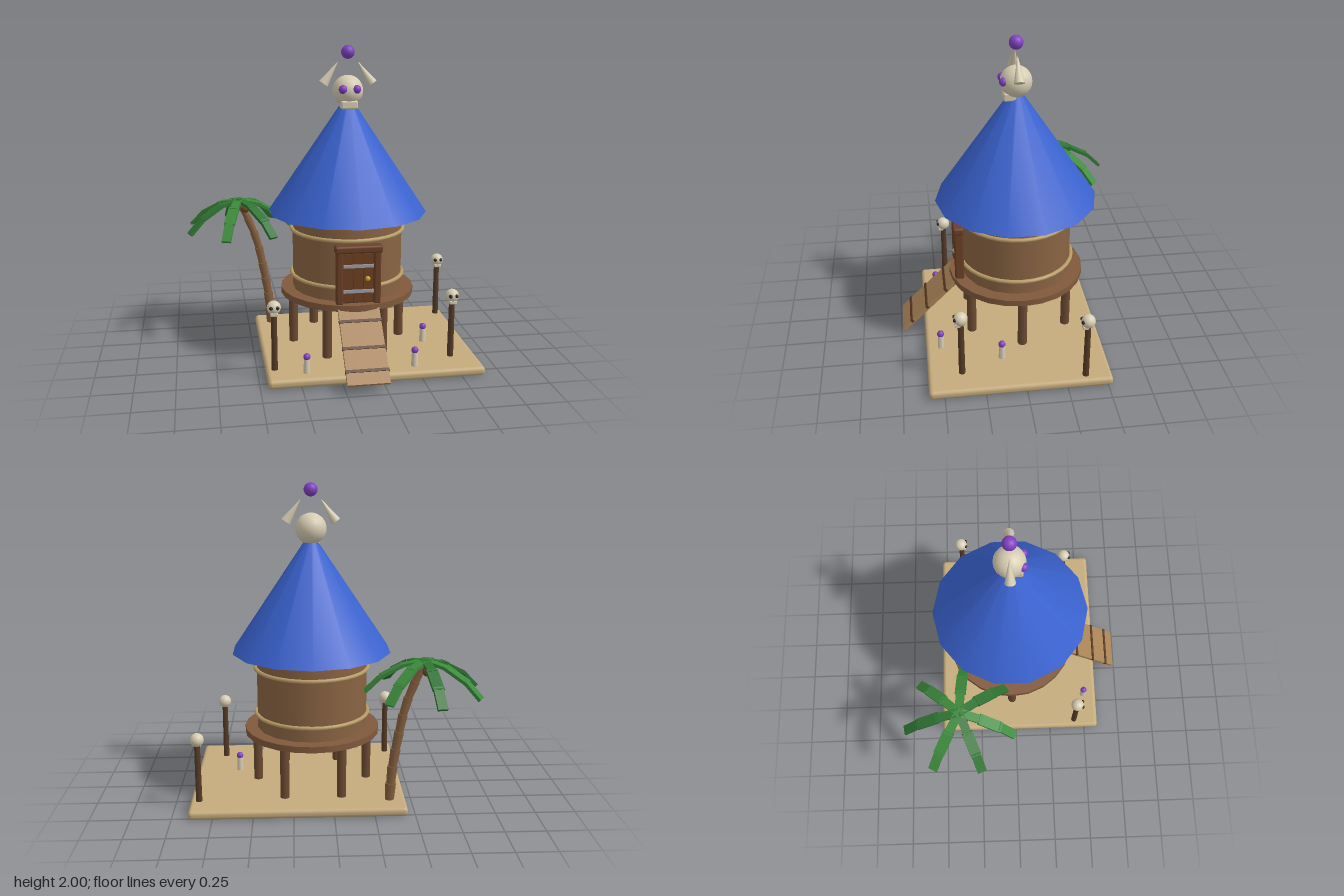
import * as THREE from 'three';
import { RoundedBoxGeometry } from 'three/addons/geometries/RoundedBoxGeometry.js';

const mat = (color) => new THREE.MeshStandardMaterial({ color });
const M = {
  sand: mat(0xc4aa7c), wall: mat(0x8a6443), deck: mat(0x80593c), leg: mat(0x6b4a32),
  plank: mat(0xaa8356), rung: mat(0x5a3c24), rope: mat(0xb89c66), roof: mat(0x3a62cf),
  bone: mat(0xd6ccb2), purple: mat(0x8040c0), dark: mat(0x2a2420), door: mat(0x6b3f22),
  frame: mat(0x6a4026), iron: mat(0x9c9ca4), gold: mat(0xd0a030), post: mat(0x553a26),
  trunk: mat(0x85603f), nut: mat(0x70452a), leaf: mat(0x3c8a3c), leafDark: mat(0x2f7333),
};
const UP = new THREE.Vector3(0, 1, 0);

function add(parent, name, geometry, material, x = 0, y = 0, z = 0) {
  const mesh = new THREE.Mesh(geometry, material);
  mesh.name = name;
  mesh.position.set(x, y, z);
  parent.add(mesh);
  return mesh;
}
function group(parent, name, x = 0, y = 0, z = 0) {
  const g = new THREE.Group();
  g.name = name;
  g.position.set(x, y, z);
  parent.add(g);
  return g;
}
const ball = (r) => new THREE.SphereGeometry(r, 20, 14);
const cyl = (rTop, rBottom, h, n = 14) => new THREE.CylinderGeometry(rTop, rBottom, h, n);
const box = (w, h, d) => new THREE.BoxGeometry(w, h, d);

// Tapered cylinder running from point a to point b
function rod(parent, name, a, b, rA, rB, material, n = 10) {
  const dir = b.clone().sub(a);
  const mesh = add(parent, name, cyl(rB, rA, dir.length(), n), material);
  mesh.position.copy(a).add(b).multiplyScalar(0.5);
  mesh.quaternion.setFromUnitVectors(UP, dir.normalize());
  return mesh;
}

// Skull facing +z with jaw and two eyes
function skull(parent, name, r, eyeMaterial, x, y, z) {
  const g = group(parent, name, x, y, z);
  add(g, 'cranium', ball(r), M.bone);
  add(g, 'jaw', new RoundedBoxGeometry(r * 1.1, r * 0.55, r * 0.8, 2, r * 0.12), M.bone, 0, -r * 0.85, r * 0.42);
  for (const s of [-1, 1]) add(g, 'eye', ball(r * 0.28), eyeMaterial, s * r * 0.44, r * 0.15, r * 0.8);
  return g;
}

function buildHut(parent) {
  const hut = group(parent, 'hut', 0.127, 0, -0.022);
  add(hut, 'deck', cyl(0.435, 0.435, 0.04, 24), M.deck, 0, 0.42);
  for (let i = 0; i < 6; i++) {
    const a = (i * Math.PI) / 3;
    add(hut, 'stilt', cyl(0.03, 0.03, 0.36, 10), M.leg, 0.357 * Math.cos(a), 0.23, 0.357 * Math.sin(a));
  }
  add(hut, 'wall', cyl(0.356, 0.356, 0.52, 18), M.wall, 0, 0.69);
  for (const y of [0.533, 0.833]) {
    add(hut, 'ropeBand', new THREE.TorusGeometry(0.363, 0.013, 8, 32), M.rope, 0, y).rotation.x = Math.PI / 2;
  }
  add(hut, 'roof', cyl(0.04, 0.51, 0.7), M.roof, 0, 1.292);

  // Rooftop skull with horns and a floating orb
  skull(hut, 'roofSkull', 0.098, M.purple, 0, 1.717, 0);
  for (const s of [-1, 1]) {
    rod(hut, 'horn', new THREE.Vector3(s * 0.155, 1.762, 0), new THREE.Vector3(s * 0.066, 1.893, 0), 0.033, 0.002, M.bone, 10);
  }
  add(hut, 'orb', ball(0.043), M.purple, 0, 1.957);

  // Door with frame, planks, iron straps and knob
  const door = group(hut, 'door', 0.005, 0, 0.37);
  for (const s of [-1, 1]) {
    add(door, 'doorPost', new RoundedBoxGeometry(0.044, 0.35, 0.06, 2, 0.012), M.frame, s * 0.118, 0.61, 0.006);
  }
  add(door, 'lintel', new RoundedBoxGeometry(0.3, 0.048, 0.068, 2, 0.014), M.frame, 0, 0.79, 0.008);
  add(door, 'doorBack', box(0.2, 0.33, 0.03), M.post, 0, 0.605, -0.005);
  for (const x of [-0.062, 0, 0.062]) {
    add(door, 'doorPlank', box(0.057, 0.31, 0.02), M.door, x, 0.605, 0.008);
  }
  for (const y of [0.52, 0.682]) add(door, 'ironStrap', box(0.19, 0.02, 0.012), M.iron, 0, y, 0.022);
  add(door, 'knob', ball(0.016), M.gold, 0.056, 0.602, 0.03);
}

function buildRamp(parent) {
  const ramp = group(parent, 'ramp', 0.13, 0.245, 0.545);
  ramp.rotation.x = Math.PI / 4;
  add(ramp, 'rampBoard', box(0.26, 0.024, 0.52), M.plank);
  for (const z of [-0.145, 0.03, 0.175]) add(ramp, 'rung', box(0.268, 0.02, 0.018), M.rung, 0, 0.008, z);
}

function buildPalm(parent) {
  const palm = group(parent, 'palmTree');
  // Curved trunk of stacked, flaring segments
  const curve = new THREE.CatmullRomCurve3([
    [-0.35, 0.055, -0.385], [-0.363, 0.25, -0.383], [-0.4, 0.48, -0.378],
    [-0.447, 0.69, -0.372], [-0.545, 0.93, -0.365],
  ].map((p) => new THREE.Vector3(...p)));
  const count = 8;
  for (let i = 0; i < count; i++) {
    const r = 0.034 - i * 0.001;
    rod(palm, 'trunkSegment', curve.getPointAt(i / count), curve.getPointAt((i + 1) / count), r * 0.85, r, M.trunk, 10);
  }
  const crown = group(palm, 'crown', -0.555, 0, -0.365);
  for (let i = 0; i < 3; i++) {
    const a = (i * Math.PI * 2) / 3 + 0.3;
    add(crown, 'coconut', ball(0.03), M.nut, 0.04 * Math.cos(a), 0.895, 0.04 * Math.sin(a));
  }
  // Drooping fronds made of three flat, overlapping pieces
  const path = [[0, 0.955], [0.14, 0.925], [0.265, 0.855], [0.355, 0.765]];
  const widths = [0.055, 0.07, 0.06];
  for (let i = 0; i < 7; i++) {
    const frond = group(crown, 'frond');
    frond.rotation.y = -((i * Math.PI * 2) / 7 + 0.07);
    widths.forEach((w, k) => {
      const [x0, y0] = path[k], [x1, y1] = path[k + 1];
      const length = Math.hypot(x1 - x0, y1 - y0) + 0.02;
      const leaf = add(frond, 'frondPiece', box(length, 0.02, w), i % 2 ? M.leafDark : M.leaf, (x0 + x1) / 2, (y0 + y1) / 2);
      leaf.rotation.z = Math.atan2(y1 - y0, x1 - x0);
    });
  }
}

export function createModel() {
  const model = new THREE.Group();
  model.name = 'stiltHut';

  add(model, 'ground', new RoundedBoxGeometry(1.35, 0.058, 1.125, 3, 0.025), M.sand, 0.222, 0.031, 0.032);
  buildHut(model);
  buildRamp(model);
  buildPalm(model);

  // Skulls on poles
  for (const [x, z] of [[-0.4, 0.425], [0.728, 0.385], [0.842, -0.365]]) {
    const pole = group(model, 'skullPole', x, 0, z);
    add(pole, 'pole', cyl(0.018, 0.02, 0.38, 10), M.post, 0, 0.24);
    skull(pole, 'poleSkull', 0.043, M.dark, 0, 0.464, 0);
  }
  // Candles with glowing tips
  for (const [x, z] of [[-0.21, 0.5], [0.465, 0.5], [0.615, 0.125]]) {
    const candle = group(model, 'candle', x, 0, z);
    add(candle, 'wax', cyl(0.018, 0.022, 0.095, 10), M.bone, 0, 0.103);
    add(candle, 'flame', ball(0.022), M.purple, 0, 0.163);
  }
  return model;
}
